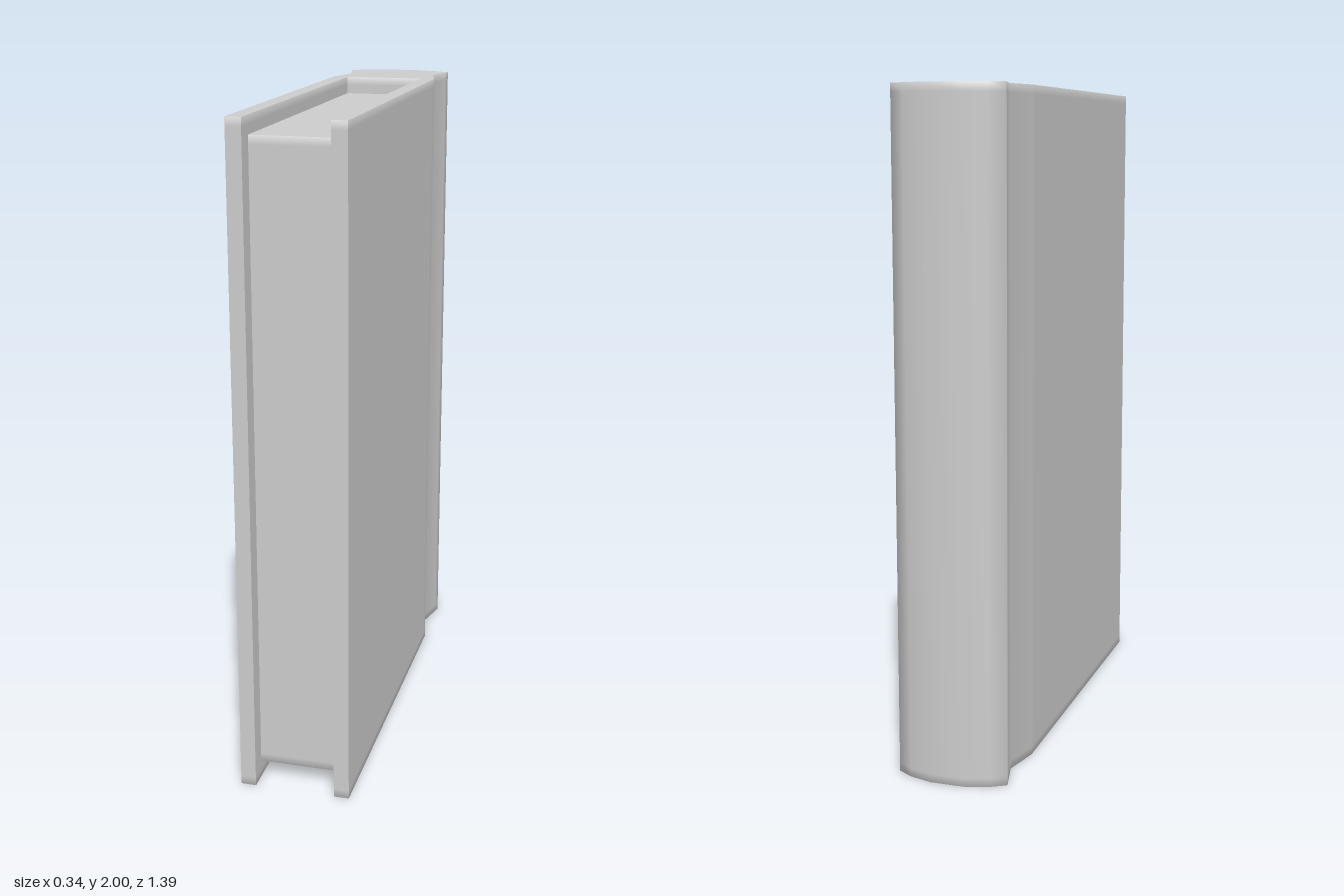
import * as THREE from 'three';
import { toCreasedNormals } from 'three/addons/utils/BufferGeometryUtils.js';

// Upright prism from a plan outline of [x, z] points (counter-clockwise seen
// from above), with a narrow soft-shaded band along its top and bottom rims.
function uprightPrism(name, outline, y0, y1) {
  const shape = new THREE.Shape(outline.map(([x, z]) => new THREE.Vector2(x, -z)));
  const raw = new THREE.ExtrudeGeometry(shape, { depth: 3, steps: 3, bevelEnabled: false });
  raw.rotateX(-Math.PI / 2);
  const levels = [y0, y0 + 0.025, y1 - 0.025, y1];
  const rawPos = raw.attributes.position;
  for (let i = 0; i < rawPos.count; i++) rawPos.setY(i, levels[Math.round(rawPos.getY(i))]);

  const geometry = toCreasedNormals(raw, THREE.MathUtils.degToRad(80));
  const { position, normal } = geometry.attributes;
  const n = new THREE.Vector3();
  for (let i = 0; i < position.count; i++) {
    n.fromBufferAttribute(normal, i);
    if (Math.abs(n.y) > 0.1) continue; // caps stay flat
    const y = position.getY(i);
    if (y > y1 - 0.01) n.y = 0.5;
    else if (y < y0 + 0.01) n.y = -0.5;
    n.normalize();
    normal.setXYZ(i, n.x, n.y, n.z);
  }
  const mesh = new THREE.Mesh(geometry, new THREE.MeshStandardMaterial({ color: 0xcccccc }));
  mesh.name = name;
  return mesh;
}

export function createModel() {
  const group = new THREE.Group();
  group.name = 'book';

  // Cover: two boards, hinge grooves and rounded spine in one U-shaped outline
  const rightHalf = [
    [0.122, -0.41], [0.122, 0.692], [0.168, 0.692], // inside and fore edge
    [0.168, -0.385], [0.168, -0.41], // board
    [0.14, -0.53], [0.163, -0.625], [0.168, -0.645], // hinge groove
    [0.122, -0.673], [0.052, -0.694], // rounded spine
  ];
  const leftHalf = rightHalf.map(([x, z]) => [-x, z]).reverse();
  group.add(uprightPrism('cover', [...rightHalf, ...leftHalf], 0, 2));

  // Page block, set back inside the boards
  const pages = [[-0.122, -0.42], [-0.122, 0.637], [0.122, 0.637], [0.122, -0.42]];
  group.add(uprightPrism('pages', pages, 0.053, 1.947));

  return group;
}
